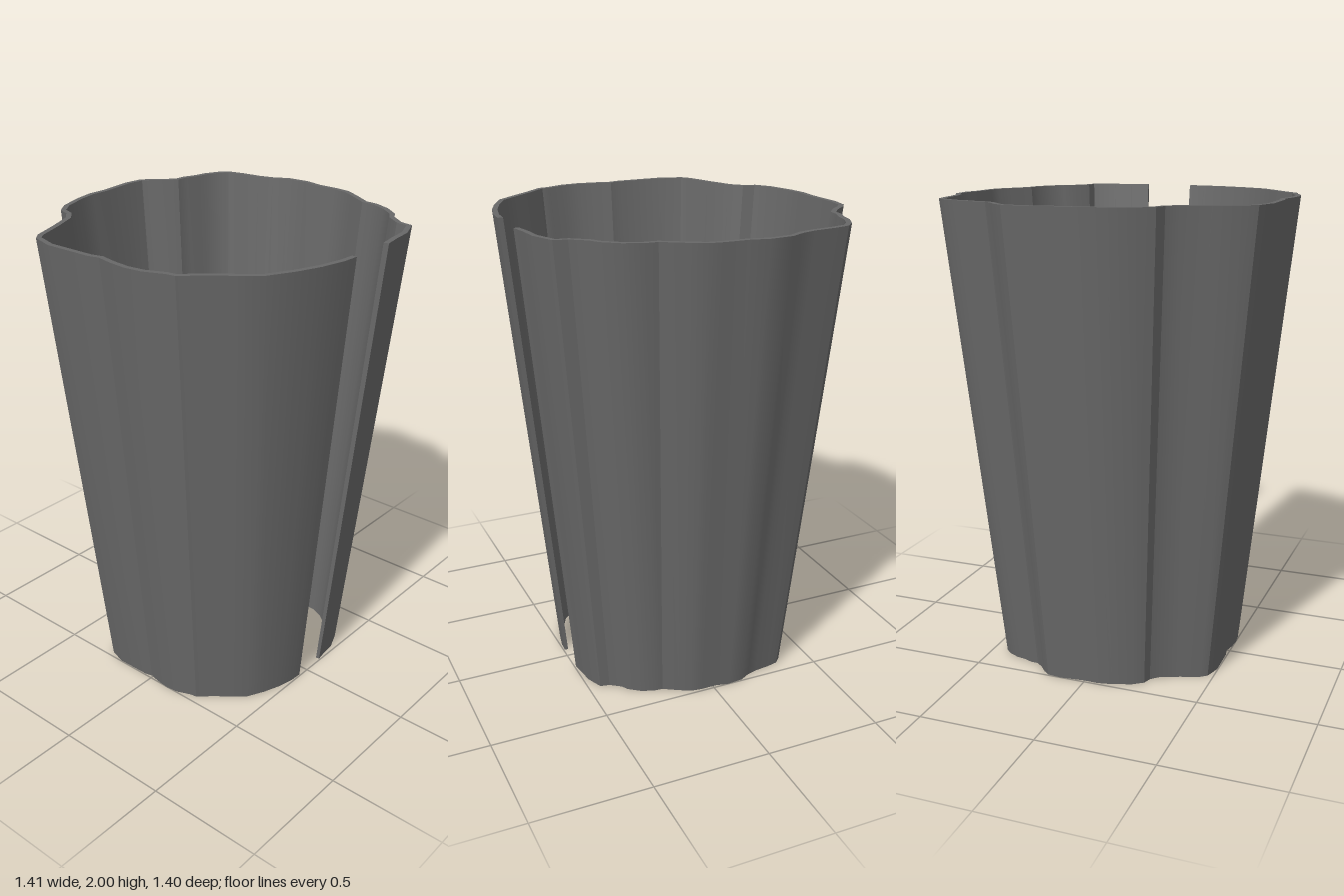
import * as THREE from 'three';
import { toCreasedNormals } from 'three/addons/utils/BufferGeometryUtils.js';

const HEIGHT = 2;
const THICKNESS = 0.022;
const BASE_SCALE = 0.712; // the foot is narrower than the rim

// Outer edge of the rim as [x, z], from one side of the front slit round to the other
const RIM = [
  [-0.07, 0.694], [-0.14, 0.69], [-0.245, 0.667], [-0.345, 0.63], [-0.45, 0.577], [-0.52, 0.495],
  [-0.585, 0.415], [-0.655, 0.338], [-0.662, 0.298], [-0.696, 0.215], [-0.705, 0.14], [-0.697, 0.06],
  [-0.682, -0.01], [-0.694, -0.057], [-0.698, -0.265], [-0.667, -0.367], [-0.63, -0.397],
  [-0.51, -0.442], [-0.4, -0.49], [-0.357, -0.533], [-0.34, -0.585], [-0.28, -0.63],
  [-0.168, -0.67], [-0.08, -0.688], [0, -0.685], [0.153, -0.702], [0.236, -0.692], [0.277, -0.66],
  [0.315, -0.615], [0.357, -0.58], [0.405, -0.577], [0.455, -0.557], [0.511, -0.547],
  [0.575, -0.517], [0.613, -0.48], [0.628, -0.415], [0.64, -0.32], [0.658, -0.257],
  [0.692, -0.196], [0.702, -0.1], [0.685, -0.02], [0.685, 0.075], [0.677, 0.14], [0.64, 0.208],
  [0.587, 0.294], [0.583, 0.35], [0.553, 0.423], [0.504, 0.487], [0.462, 0.513], [0.417, 0.574],
  [0.406, 0.63], [0.304, 0.672], [0.22, 0.68], [0.142, 0.694],
].map(([x, z]) => new THREE.Vector2(x, z));

// Moves each point of an open line inward by the wall thickness
function inset(points, distance) {
  return points.map((p, i) => {
    const before = points[Math.max(i - 1, 0)];
    const after = points[Math.min(i + 1, points.length - 1)];
    const t = after.clone().sub(before).normalize();
    return new THREE.Vector2(p.x - t.y * distance, p.y + t.x * distance);
  });
}

function wallGeometry() {
  // Thin closed band: outer edge, then inner edge back again
  const band = [...RIM, ...inset(RIM, THICKNESS).reverse()];
  const shape = new THREE.Shape(band.map((p) => new THREE.Vector2(p.x, -p.y)));
  const geometry = new THREE.ExtrudeGeometry(shape, { depth: HEIGHT, bevelEnabled: false });
  geometry.rotateX(-Math.PI / 2);

  // Taper towards the foot
  const pos = geometry.attributes.position;
  for (let i = 0; i < pos.count; i++) {
    const s = THREE.MathUtils.lerp(BASE_SCALE, 1, pos.getY(i) / HEIGHT);
    pos.setX(i, pos.getX(i) * s);
    pos.setZ(i, pos.getZ(i) * s);
  }
  geometry.clearGroups();
  return toCreasedNormals(geometry, 0.42);
}

export function createModel() {
  const model = new THREE.Group();
  model.name = 'slitSleeve';

  const darkGrey = new THREE.MeshStandardMaterial({ color: 0x686868 });
  darkGrey.name = 'dark grey';

  const wall = new THREE.Mesh(wallGeometry(), darkGrey);
  wall.name = 'wavyWall';
  model.add(wall);
  return model;
}
